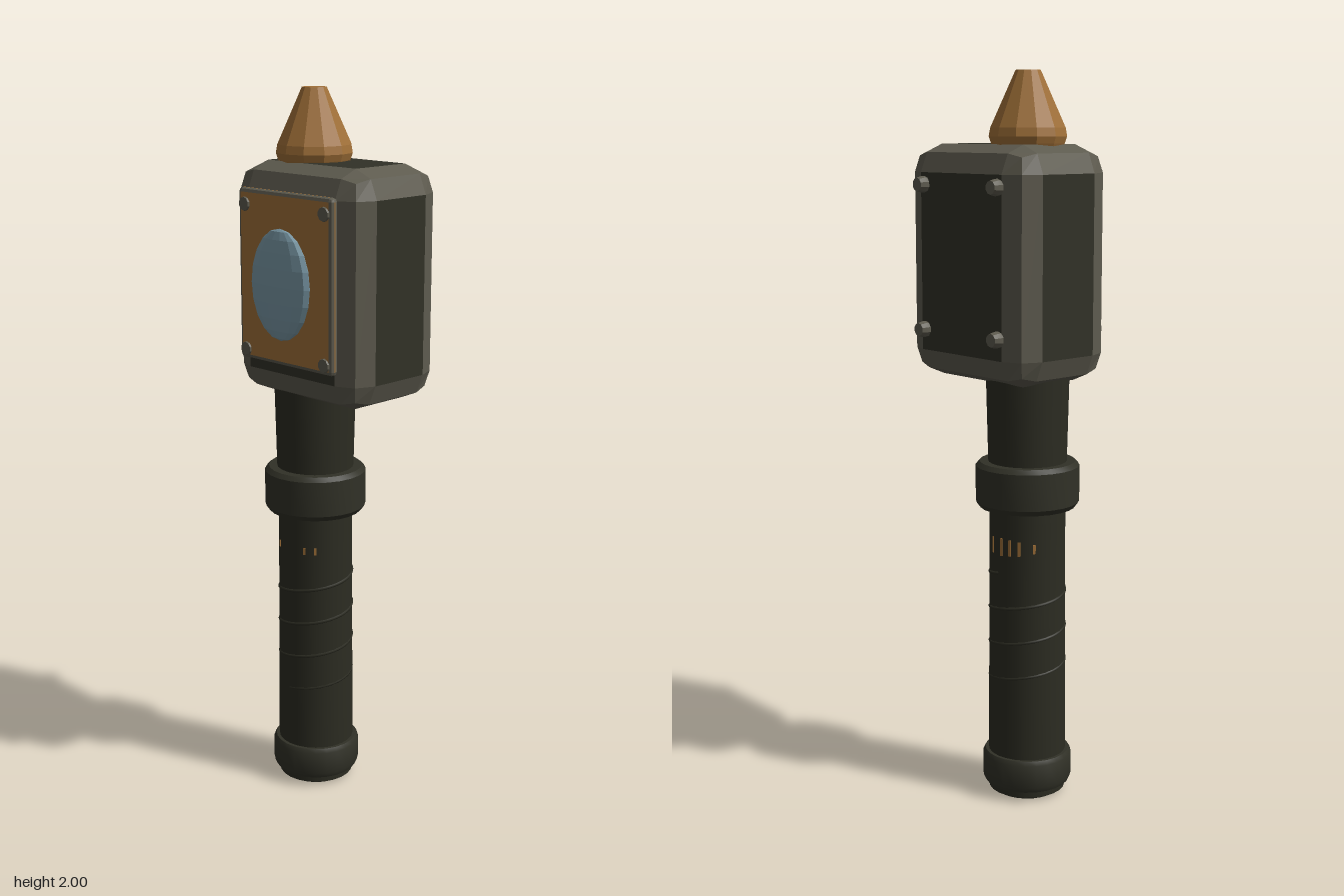
import * as THREE from 'three';
import { RoundedBoxGeometry } from 'three/addons/geometries/RoundedBoxGeometry.js';
import { toCreasedNormals } from 'three/addons/utils/BufferGeometryUtils.js';

const makeMaterial = (name, color) => {
  const m = new THREE.MeshStandardMaterial({ color });
  m.name = name;
  return m;
};

// Bevelled box: the six flat faces take material 0, the chamfers material 1
function bevelledBox(w, h, d, bevel) {
  const box = new RoundedBoxGeometry(w, h, d, 1, bevel);
  const geo = box.index ? box.toNonIndexed() : box;
  geo.computeVertexNormals();
  geo.clearGroups();
  const n = geo.attributes.normal;
  for (let i = 0; i < n.count; i += 3) {
    const most = Math.max(Math.abs(n.getX(i)), Math.abs(n.getY(i)), Math.abs(n.getZ(i)));
    geo.addGroup(i, 3, most > 0.99 ? 0 : 1);
  }
  return geo;
}

// Turned part from [radius, y] pairs, bottom to top
function turned(profile, sides, crease) {
  const geo = new THREE.LatheGeometry(profile.map(([r, y]) => new THREE.Vector2(r, y)), sides);
  return toCreasedNormals(geo, crease);
}

export function createModel() {
  const model = new THREE.Group();
  model.name = 'hammer';

  const leather = makeMaterial('dark leather', 0x2c2c22);
  const iron = makeMaterial('dark iron', 0x313127);
  const steel = makeMaterial('grey steel', 0x5e5b4f);
  const bronze = makeMaterial('bronze', 0xa07038);
  const crystal = makeMaterial('blue crystal', 0x7b9aa8);

  const add = (name, geo, mat, x = 0, y = 0, z = 0, parent = model) => {
    const mesh = new THREE.Mesh(geo, mat);
    mesh.name = name;
    mesh.position.set(x, y, z);
    parent.add(mesh);
    return mesh;
  };

  // Head block with steel chamfers
  add('head', bevelledBox(0.476, 0.63, 0.334, 0.075), [iron, steel], 0, 1.495, -0.02);

  // Front plate and gem
  add('frontPlate', bevelledBox(0.352, 0.46, 0.026, 0.011), [bronze, steel], 0, 1.515, 0.159);
  const gemGeo = new THREE.SphereGeometry(1, 14, 10).scale(0.11, 0.148, 0.026);
  add('gem', toCreasedNormals(gemGeo, 0.01), crystal, 0, 1.505, 0.185);

  // Rivets on the plate and on the back of the head
  const rivet = turned([[0.022, 0], [0.022, 0.012], [0.018, 0.027], [0, 0.027]], 10, 0.5);
  for (const x of [-0.149, 0.149]) {
    for (const y of [1.312, 1.703]) {
      add('frontRivet', rivet, steel, x, y, 0.15).rotation.x = Math.PI / 2;
      add('backRivet', rivet, steel, x, y, -0.186).rotation.x = -Math.PI / 2;
    }
  }

  // Everything turned about the off-centre shaft axis
  const shaft = new THREE.Group();
  shaft.name = 'shaft';
  shaft.position.set(-0.079, 0, -0.018);
  model.add(shaft);

  add('spike', turned([[0, 1.79], [0.09, 1.79], [0.1, 1.812], [0.106, 1.83], [0.102, 1.852],
    [0.034, 2], [0, 2]], 12, 0.01), bronze, 0, 0, 0, shaft);
  add('grip', turned([[0, 0.01], [0.107, 0.01], [0.109, 0.14], [0.106, 0.5], [0.105, 0.8],
    [0.108, 0.95], [0.114, 1.2]], 24, 0.6), leather, 0, 0, 0, shaft);
  add('collar', turned([[0.1, 0.83], [0.132, 0.83], [0.143, 0.845], [0.143, 0.945],
    [0.132, 0.957], [0.1, 0.957]], 24, 0.6), iron, 0, 0, 0, shaft);
  add('pommel', turned([[0, 0], [0.09, 0], [0.104, 0.012], [0.104, 0.03], [0.118, 0.03], [0.125, 0.045],
    [0.125, 0.11], [0.118, 0.122], [0.1, 0.122]], 24, 0.6), iron, 0, 0, 0, shaft);

  // Wound cord round the grip
  const points = [];
  for (let i = 0; i <= 84; i++) {
    const a = (i / 24) * Math.PI * 2;
    points.push(new THREE.Vector3(Math.sin(a) * 0.104, 0.3 + i * 0.0042, Math.cos(a) * 0.104));
  }
  add('cordWrap', new THREE.TubeGeometry(new THREE.CatmullRomCurve3(points), 168, 0.005, 6),
    leather, 0, 0, 0, shaft);

  // Thin bronze inlays showing through the leather
  const inlays = [[-175, 0.05], [-160, 0.045], [-145, 0.04], [-122, 0.025], [165, 0.045],
    [-28, 0.02], [28, 0.02], [45, 0.02]];
  for (const [deg, height] of inlays) {
    const a = THREE.MathUtils.degToRad(deg);
    add('inlay', new THREE.BoxGeometry(0.007, height, 0.006), bronze,
      Math.sin(a) * 0.1035, 0.73, Math.cos(a) * 0.1035, shaft).rotation.y = a;
  }
  return model;
}
